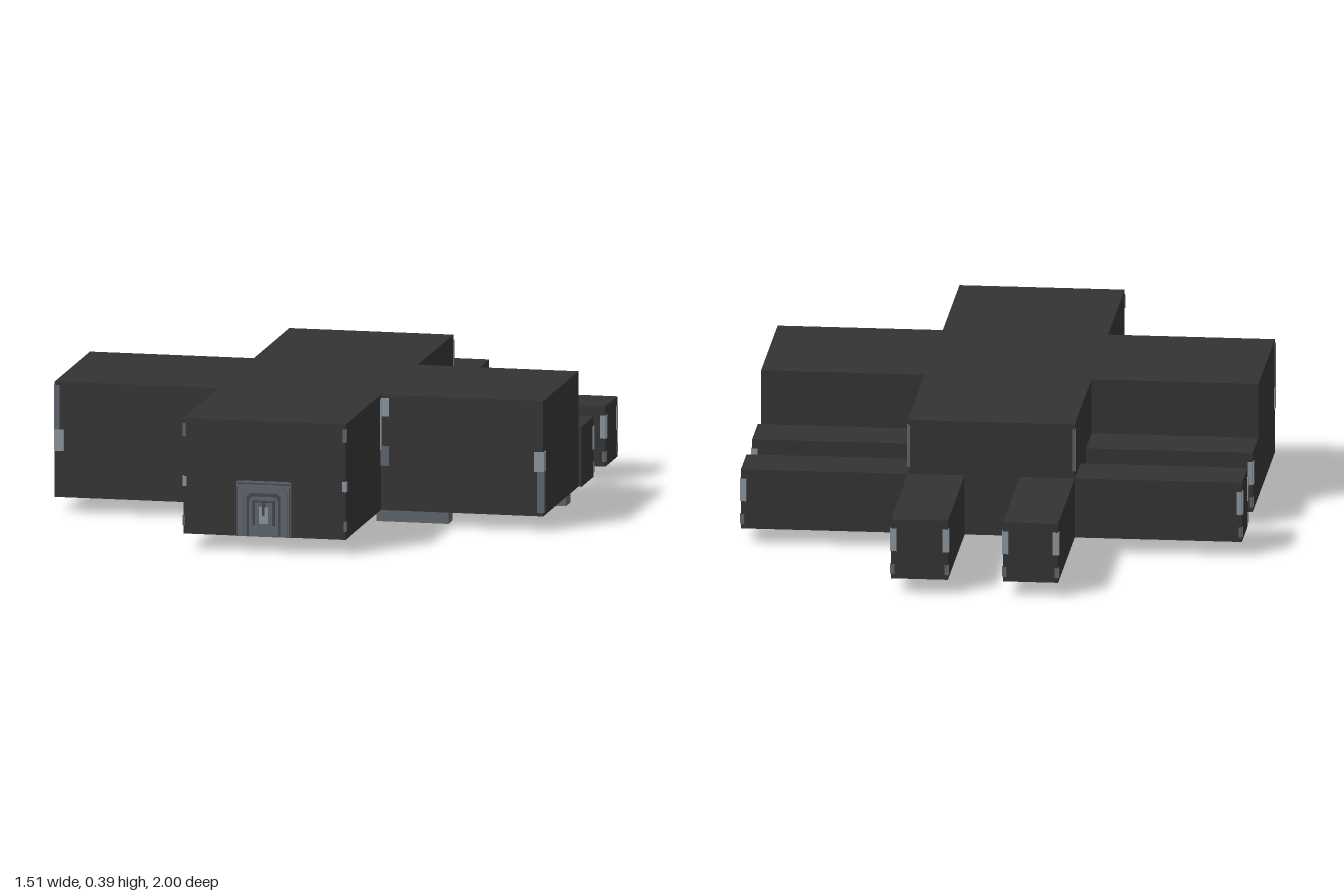
import * as THREE from 'three';

const mat = (name, color) => {
  const m = new THREE.MeshStandardMaterial({ color });
  m.name = name;
  return m;
};

export function createModel() {
  const hull = mat('dark hull', 0x333333);
  const metal = mat('grey metal', 0x5f656d);
  const light = mat('light metal', 0x8a949e);
  const shade = mat('dark metal', 0x42474e);

  const model = new THREE.Group();
  model.name = 'station';

  // Box given by its minimum and maximum corners
  const box = (name, material, x0, x1, y0, y1, z0, z1, parent = model) => {
    const mesh = new THREE.Mesh(new THREE.BoxGeometry(x1 - x0, y1 - y0, z1 - z0), material);
    mesh.position.set((x0 + x1) / 2, (y0 + y1) / 2, (z0 + z1) / 2);
    mesh.name = name;
    parent.add(mesh);
    return mesh;
  };

  const base = 0.045, top = 0.395, lowTop = 0.228;

  // Cross-shaped main hall, drawn in plan as (x, -z) and raised upwards
  const plan = [
    [-0.25, 0.985], [0.245, 0.985], [0.245, 0.49], [0.74, 0.49], [0.74, -0.003], [0.25, -0.003],
    [0.25, -0.5], [-0.25, -0.5], [-0.25, -0.003], [-0.75, -0.003], [-0.75, 0.49], [-0.25, 0.49],
  ].map(([x, z]) => new THREE.Vector2(x, -z));
  const hallGeo = new THREE.ExtrudeGeometry(new THREE.Shape(plan), { depth: top - base, bevelEnabled: false });
  hallGeo.rotateX(-Math.PI / 2).translate(0, base, 0);
  const hall = new THREE.Mesh(hallGeo, hull);
  hall.name = 'mainHall';
  model.add(hall);

  // Low corridors: two on each side and two at the back
  for (const s of [-1, 1]) {
    const [x0, x1] = s < 0 ? [-0.75, -0.25] : [0.25, 0.75];
    box('sideCorridor', hull, x0, x1, base, lowTop, -0.17, -0.003);
    box('sideCorridor', hull, x0, x1, base, lowTop, -0.5, -0.335);
    const [r0, r1] = s < 0 ? [-0.25, -0.085] : [0.08, 0.25];
    box('rearCorridor', hull, r0, r1, base, lowTop, -1, -0.5);
  }

  // Feet under the +x half
  box('longFoot', metal, 0.23, 0.45, 0.01, base, 0.43, 0.485);
  box('smallFoot', metal, 0.26, 0.37, 0, base, 0.015, 0.08);
  box('smallFoot', metal, 0.61, 0.72, 0, base, 0.015, 0.08);

  // Stepped corner plates; sx and sz point out of the corner
  const t = 0.003;
  const cornerPlates = (x, z, sx, sz, rows) => {
    const g = new THREE.Group();
    g.name = 'cornerPlates';
    for (const [y0, y1, w, m] of rows) {
      const [x0, x1] = [x, x - sx * w].sort((a, b) => a - b);
      const [z0, z1] = [z, z - sz * w].sort((a, b) => a - b);
      box('facePlate', m, x0, x1, y0, y1, z - t, z + t, g);
      box('edgePlate', m, x - t, x + t, y0, y1, z0, z1, g);
    }
    model.add(g);
  };
  const upper = [[0.25, 0.385, 0.015, metal], [0.185, 0.25, 0.028, light]];
  const lower = [[0.055, 0.18, 0.018, metal], [0.18, 0.24, 0.028, light]];
  const specks = [[0.07, 0.1, 0.006, metal], [0.19, 0.22, 0.01, light], [0.34, 0.38, 0.008, metal]];
  const low = [[0.06, 0.09, 0.01, metal], [0.13, 0.2, 0.016, light]];
  cornerPlates(-0.75, 0.49, -1, 1, upper);
  cornerPlates(0.74, 0.49, 1, 1, lower);
  cornerPlates(0.245, 0.985, 1, 1, specks);
  cornerPlates(-0.25, 0.985, -1, 1, specks);
  cornerPlates(-0.25, -0.5, -1, -1, [[0.25, 0.38, 0.007, metal]]);
  cornerPlates(0.25, -0.5, 1, -1, [[0.25, 0.38, 0.007, metal]]);
  for (const s of [-1, 1]) {
    for (const [z, sz] of [[-0.17, -1], [-0.335, 1], [-0.5, -1]]) cornerPlates(s * 0.75, z, s, sz, low);
    cornerPlates(s * 0.25, -1, s, -1, low);
    cornerPlates(s < 0 ? -0.085 : 0.08, -1, -s, -1, low);
  }

  // Plates in the inner corners of the hall
  box('innerPlate', light, -0.28, -0.25, base, 0.2, 0.49 - t, 0.49 + t);
  box('innerPlate', metal, -0.275, -0.25, 0.2, 0.24, 0.49 - t, 0.49 + t);
  box('innerPlate', light, 0.245, 0.27, 0.33, 0.385, 0.49 - t, 0.49 + t);
  box('innerPlate', metal, 0.245, 0.27, 0.18, 0.24, 0.49 - t, 0.49 + t);
  box('innerPlate', light, 0.245 - t, 0.245 + t, 0.23, 0.38, 0.49, 0.505);

  // Front gate: nested frames around a panelled door
  const gate = new THREE.Group();
  gate.name = 'gate';
  gate.position.set(-0.004, base, 0.985);
  model.add(gate);
  const chamfered = (P, w, h, c) => {
    const s = new P();
    s.moveTo(-w, 0).lineTo(w, 0).lineTo(w, h - c).lineTo(w - c, h).lineTo(-w + c, h).lineTo(-w, h - c).closePath();
    return s;
  };
  const arch = (name, m, outer, inner, depth) => {
    const shape = chamfered(THREE.Shape, ...outer);
    if (inner) shape.holes.push(chamfered(THREE.Path, ...inner));
    const mesh = new THREE.Mesh(new THREE.ExtrudeGeometry(shape, { depth, bevelEnabled: false }), m);
    mesh.name = name;
    gate.add(mesh);
    return mesh;
  };
  arch('gateBack', metal, [0.084, 0.168, 0.004], null, 0.004);
  arch('innerFrame', shade, [0.052, 0.13, 0.012], [0.044, 0.12, 0.01], 0.008).position.y = 0.002;
  arch('outerFrame', metal, [0.075, 0.155, 0.022], [0.06, 0.14, 0.018], 0.011).position.y = 0.002;
  box('lintelLine', shade, -0.08, 0.08, 0.158, 0.162, 0, 0.006, gate);
  for (const s of [-1, 1]) {
    box('gatePost', shade, s * 0.08 - 0.002, s * 0.08 + 0.002, 0, 0.15, 0, 0.006, gate);
    box('doorRib', shade, s * 0.03 - 0.004, s * 0.03 + 0.004, 0.035, 0.11, 0, 0.007, gate);
  }
  box('doorPanel', light, -0.014, 0.014, 0.04, 0.09, 0, 0.008, gate);
  box('doorPanelGroove', shade, -0.004, 0.004, 0.065, 0.105, 0, 0.009, gate);
  box('doorBar', shade, -0.03, 0.03, 0.104, 0.11, 0, 0.007, gate);

  return model;
}
